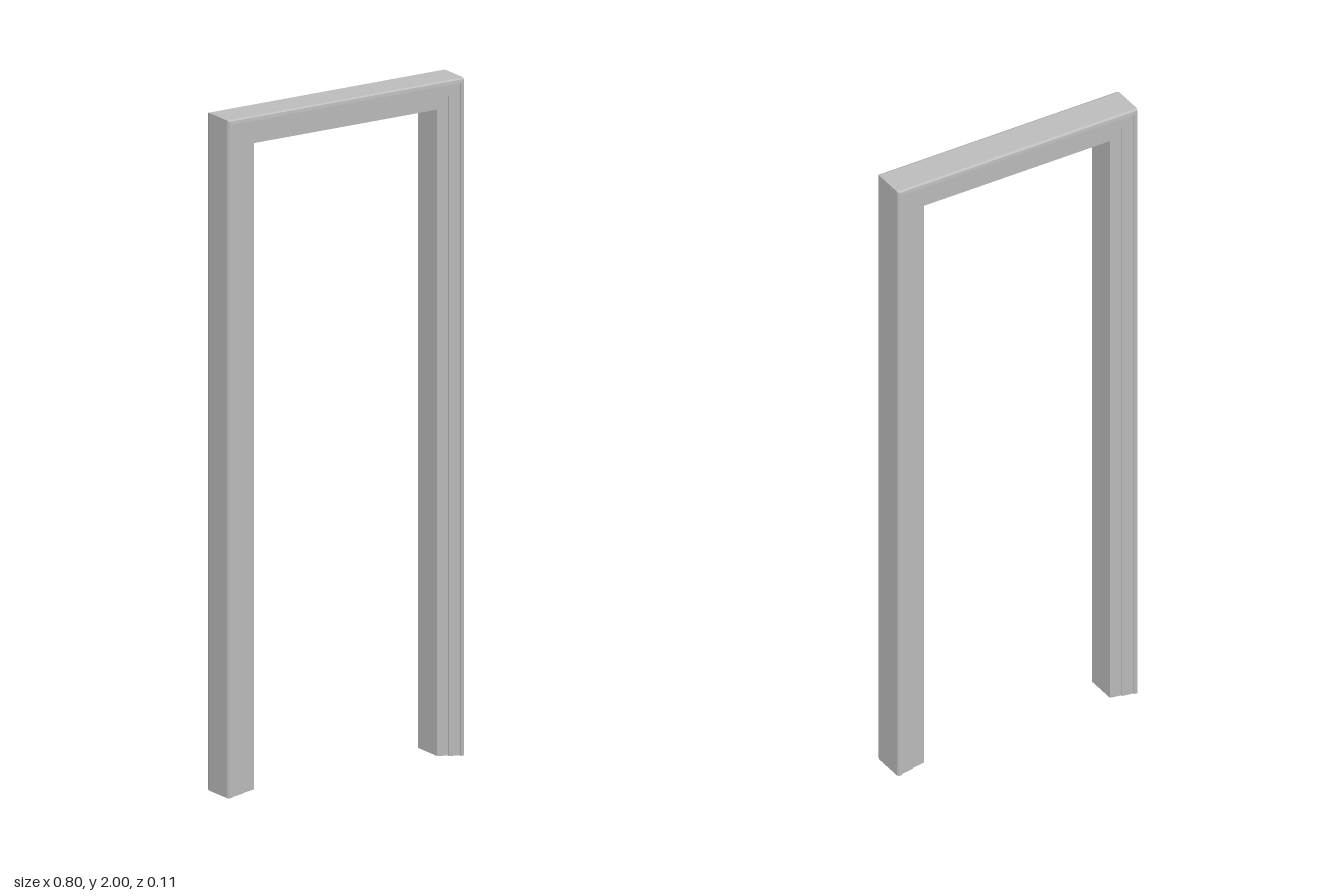
import * as THREE from 'three';

// Half of the moulding section: [distance in from the outer edge, half depth]
const HALF = [
  [0, 0.048], [0.003, 0.055], [0.014, 0.056], [0.014, 0.052],
  [0.052, 0.052], [0.052, 0.048], [0.09, 0.048],
];
// Full closed section, front then back
const SECTION = [...HALF, ...HALF.slice().reverse().map(([d, z]) => [d, -z])];
const N = SECTION.length;

// Sections at both feet and both mitred corners
const STATIONS = [
  (d) => [-0.4 + d, 0.13 * d],
  (d) => [-0.4 + d, 2 - 0.9 * d],
  (d) => [0.4 - d, 2 - 0.9 * d],
  (d) => [0.4 - d, 0.13 * d],
];

function sweep(from, to, capStart, capEnd) {
  const pos = [];
  const point = (s, j) => {
    const [d, z] = SECTION[j % N];
    return [...STATIONS[s](d), z];
  };
  const quad = (a, b, c, d) => pos.push(...a, ...b, ...c, ...a, ...c, ...d);

  // Long faces
  for (let j = 0; j < N; j++) {
    quad(point(from, j), point(from, j + 1), point(to, j + 1), point(to, j));
  }
  // Closed foot, where the leg meets the floor
  for (let j = 0; j < HALF.length - 1; j++) {
    if (HALF[j][0] === HALF[j + 1][0]) continue;
    const ring = [j, j + 1, N - 2 - j, N - 1 - j];
    if (capStart) quad(...ring.slice().reverse().map((k) => point(from, k)));
    if (capEnd) quad(...ring.map((k) => point(to, k)));
  }
  const geo = new THREE.BufferGeometry();
  geo.setAttribute('position', new THREE.Float32BufferAttribute(pos, 3));
  geo.computeVertexNormals();
  return geo;
}

export function createModel() {
  const group = new THREE.Group();
  group.name = 'doorFrame';
  const paint = new THREE.MeshStandardMaterial({ color: 0xc0c0c0 });
  paint.name = 'light grey';

  const add = (name, geo) => {
    const mesh = new THREE.Mesh(geo, paint);
    mesh.name = name;
    group.add(mesh);
  };
  add('rightJamb', sweep(0, 1, true, false));
  add('headJamb', sweep(1, 2, false, false));
  add('leftJamb', sweep(2, 3, false, true));
  return group;
}
